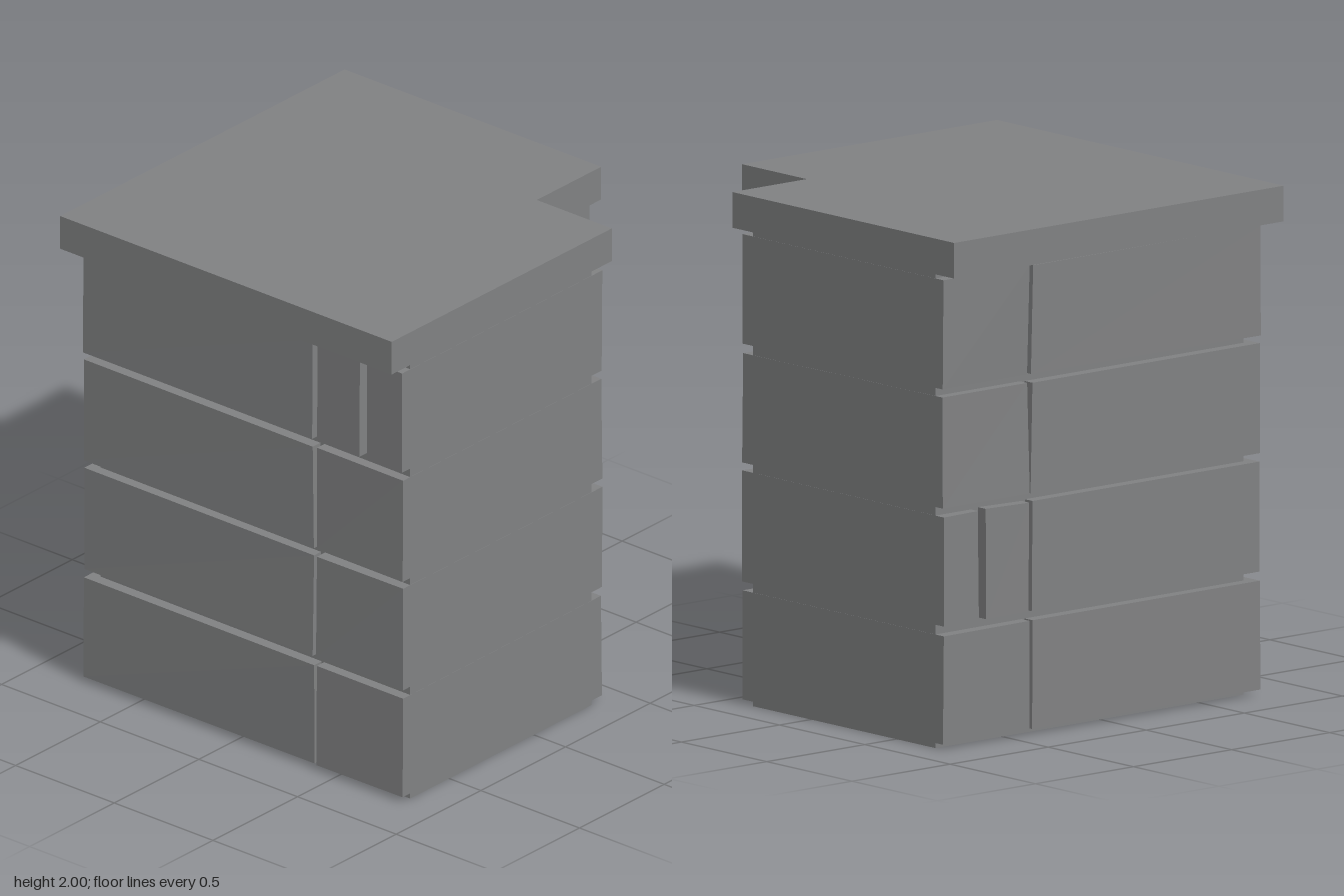
import * as THREE from 'three';

const stone = new THREE.MeshStandardMaterial({ color: 0x808182 });
stone.name = 'grey stone';

const END = 0.84; // flat cut ends of both wall arms

// Small seeded generator for the uneven masonry
let seed = 7;
const wobble = (amount) => {
  seed = (seed * 16807) % 2147483647;
  return (seed / 2147483647 - 0.5) * 2 * amount;
};

// L-shaped prism: outer corner at (-outer, +outer), inner corner at (inner, -inner)
function lPrism(name, outer, inner, end, y0, y1) {
  const shape = new THREE.Shape([
    [-outer, -outer], [end, -outer], [end, inner], [inner, inner], [inner, end], [-outer, end],
  ].map(([x, y]) => new THREE.Vector2(x, y)));
  const geometry = new THREE.ExtrudeGeometry(shape, { depth: y1 - y0, bevelEnabled: false });
  geometry.rotateX(-Math.PI / 2); // shape y becomes -z
  const mesh = new THREE.Mesh(geometry, stone);
  mesh.name = name;
  mesh.position.y = y0;
  return mesh;
}

// Stone block with slightly uneven corners; cut ends stay perfectly flat
function block(name, [x0, x1], [y0, y1], [z0, z1]) {
  const geometry = new THREE.BoxGeometry(1, 1, 1);
  const p = geometry.attributes.position;
  const corners = {};
  for (const x of [x0, x1]) for (const y of [y0, y1]) for (const z of [z0, z1]) {
    corners[[x === x1, y === y1, z === z1]] = [
      x === END ? x : x + wobble(0.005),
      y + wobble(0.003),
      z === -END ? z : z + wobble(0.005),
    ];
  }
  for (let i = 0; i < p.count; i++) {
    p.setXYZ(i, ...corners[[p.getX(i) > 0, p.getY(i) > 0, p.getZ(i) > 0]]);
  }
  const flat = geometry.toNonIndexed();
  flat.computeVertexNormals();
  const mesh = new THREE.Mesh(flat, stone);
  mesh.name = name;
  return mesh;
}

export function createModel() {
  seed = 7;
  const model = new THREE.Group();
  model.name = 'cornerWall';

  // Recessed mortar core and overhanging cap
  model.add(lPrism('core', 0.73, 0.34, END - 0.001, 0, 1.87));
  model.add(lPrism('cap', 0.84, 0.46, END, 1.86, 2));

  // Four courses: a large corner block and one or two blocks on each arm
  const courses = [[0.02, 0.447], [0.483, 0.915], [0.947, 1.38], [1.413, 1.842]];
  const whole = [[0.405, END]];
  const split = [[0.405, 0.62], [0.66, END]];
  courses.forEach((y, i) => {
    const course = new THREE.Group();
    course.name = `course${i + 1}`;
    course.add(block('cornerBlock', [-0.775, 0.388], y, [-0.388, 0.775]));
    for (const [a, b] of i === 3 ? split : whole) {
      course.add(block('sideArmBlock', [a, b], y, [-0.4, 0.775]));
    }
    for (const [a, b] of i === 1 ? split : whole) {
      course.add(block('rearArmBlock', [-0.775, 0.4], y, [-b, -a]));
    }
    model.add(course);
  });
  return model;
}
